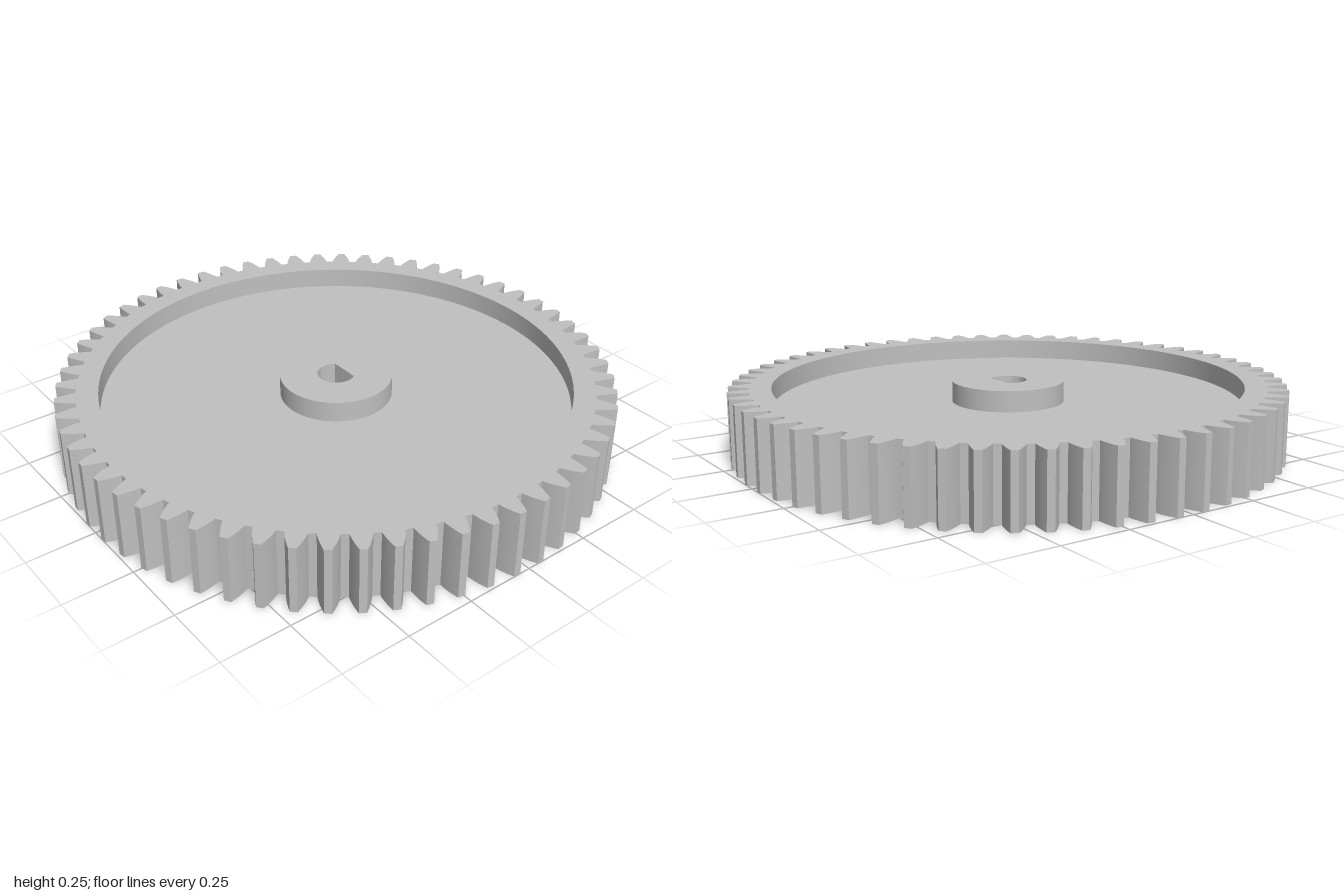
import * as THREE from 'three';
import { toCreasedNormals } from 'three/addons/utils/BufferGeometryUtils.js';

const TEETH = 60, HEIGHT = 0.247, RECESS = 0.076;
const TIP_R = 1.0008, ROOT_R = 0.927, PITCH_R = 0.968;
const RIM_R = 0.848, HUB_R = 0.203, BORE_R = 0.067, BORE_FLAT = 0.038;

// Half the angular thickness of an involute tooth (20 degree pressure angle)
function halfAngle(r) {
  const pressure = Math.PI / 9;
  const inv = (a) => Math.tan(a) - a;
  const baseR = PITCH_R * Math.cos(pressure);
  return Math.PI / (2 * TEETH) + inv(pressure) - inv(Math.acos(baseR / r));
}

// Gear outline with a tooth gap on each axis
function gearOutline() {
  const pts = [], steps = 5;
  const add = (r, a) => pts.push(new THREE.Vector2(r * Math.cos(a), r * Math.sin(a)));
  for (let t = 0; t < TEETH; t++) {
    const mid = ((t + 0.5) * 2 * Math.PI) / TEETH;
    for (const side of [-1, 1]) {
      for (let i = 0; i <= steps; i++) {
        const k = (side < 0 ? i : steps - i) / steps;
        const r = ROOT_R + (TIP_R - ROOT_R) * k;
        add(r, mid + side * halfAngle(r));
      }
    }
  }
  return new THREE.Shape(pts);
}

function circle(r, Type = THREE.Shape) {
  const c = new Type();
  c.absarc(0, 0, r, 0, Math.PI * 2, false);
  return c;
}

// Round bore with one flat side towards +x
function boreHole() {
  const a = Math.acos(BORE_FLAT / BORE_R);
  const p = new THREE.Path();
  p.absarc(0, 0, BORE_R, a, Math.PI * 2 - a, false);
  p.closePath();
  return p;
}

export function createModel() {
  const group = new THREE.Group();
  group.name = 'spurGear';
  const grey = new THREE.MeshStandardMaterial({ color: 0xc0c0c0 });
  grey.name = 'plainGrey';

  // Upright slab from y0 to y1 with a hole through it
  const slab = (name, shape, hole, y0, y1) => {
    shape.holes.push(hole);
    const geo = new THREE.ExtrudeGeometry(shape, { depth: y1 - y0, bevelEnabled: false, curveSegments: 96 });
    geo.rotateX(-Math.PI / 2).translate(0, y0, 0);
    const mesh = new THREE.Mesh(toCreasedNormals(geo, 0.4), grey);
    mesh.name = name;
    group.add(mesh);
  };

  slab('toothedRim', gearOutline(), circle(RIM_R, THREE.Path), 0, HEIGHT);
  slab('web', circle(RIM_R), circle(HUB_R, THREE.Path), RECESS, HEIGHT - RECESS);
  slab('hub', circle(HUB_R), boreHole(), 0, HEIGHT);
  return group;
}
